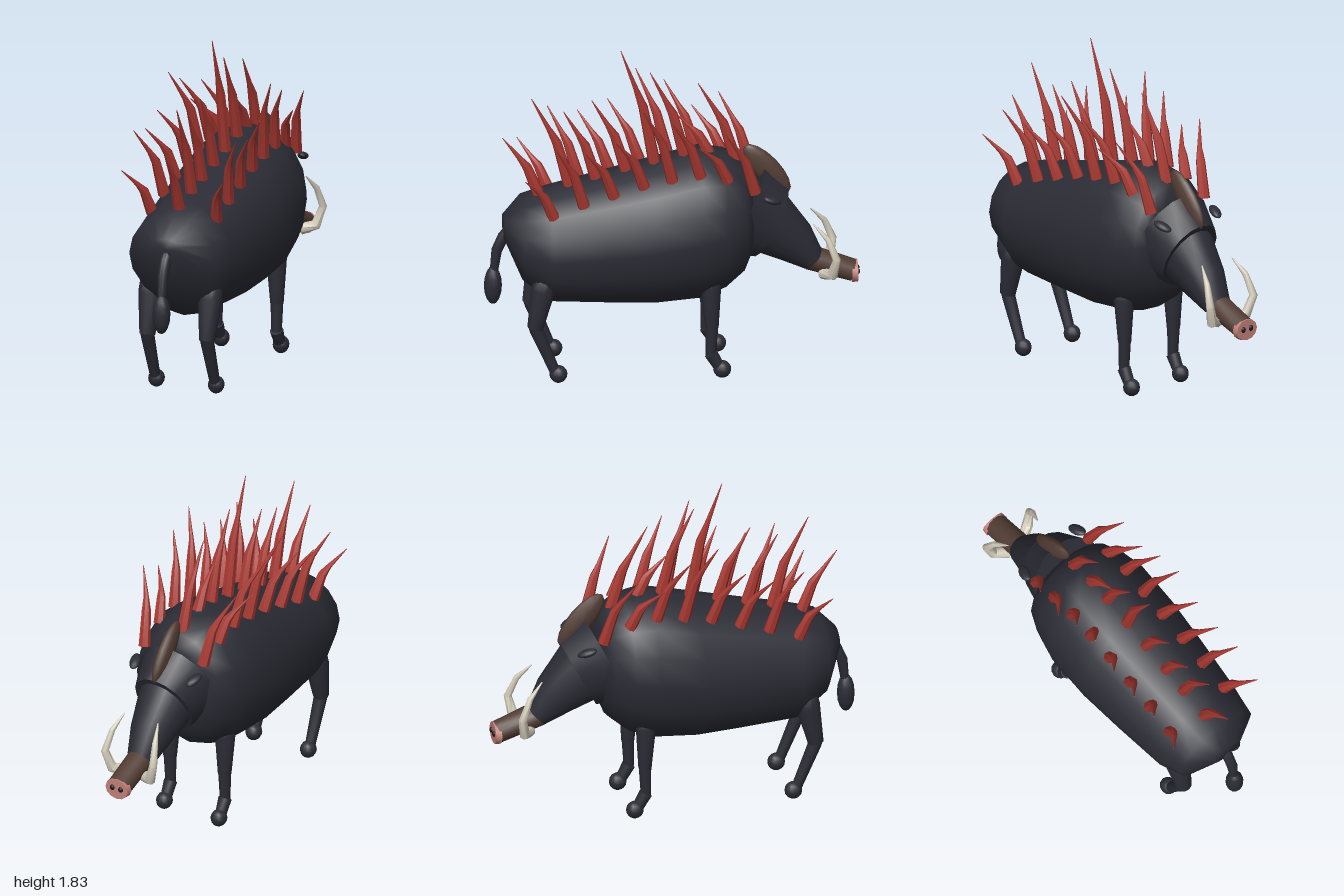
import * as THREE from 'three';
import { toCreasedNormals } from 'three/addons/utils/BufferGeometryUtils.js';

const mat = (name, color) => {
  const m = new THREE.MeshStandardMaterial({ color });
  m.name = name;
  return m;
};

// Closed skin through elliptical rings [x, y, z, sideRadius, otherRadius]
function loft(rings, segs, { axis = null, crease = 0.8 } = {}) {
  const P = rings.map(r => new THREE.Vector3(r[0], r[1], r[2]));
  const n = P.length, pos = [], idx = [];
  P.forEach((c, i) => {
    const t = axis ? axis.clone() : new THREE.Vector3();
    if (!axis) {
      if (i > 0) t.add(P[i].clone().sub(P[i - 1]).normalize());
      if (i < n - 1) t.add(P[i + 1].clone().sub(P[i]).normalize());
    }
    t.normalize();
    const u = new THREE.Vector3(1, 0, 0).addScaledVector(t, -t.x).normalize();
    const v = t.clone().cross(u);
    const rx = rings[i][3], ry = rings[i][4] ?? rx;
    for (let j = 0; j < segs; j++) {
      const a = j / segs * Math.PI * 2;
      const p = c.clone().addScaledVector(u, rx * Math.cos(a)).addScaledVector(v, ry * Math.sin(a));
      pos.push(p.x, p.y, p.z);
    }
  });
  pos.push(...P[0].toArray(), ...P[n - 1].toArray());
  for (let j = 0; j < segs; j++) {
    const k = (j + 1) % segs;
    for (let i = 0; i < n - 1; i++) {
      const a = i * segs + j, b = i * segs + k;
      idx.push(a, b, b + segs, a, b + segs, a + segs);
    }
    const e = (n - 1) * segs;
    idx.push(n * segs, k, j, n * segs + 1, e + j, e + k);
  }
  const g = new THREE.BufferGeometry();
  g.setAttribute('position', new THREE.Float32BufferAttribute(pos, 3));
  g.setIndex(idx);
  return toCreasedNormals(g, crease);
}

export function createModel() {
  const model = new THREE.Group();
  model.name = 'spinedBoar';
  const hide = mat('dark hide', 0x2b2c35);
  const red = mat('spine red', 0xa63730);
  const brown = mat('snout brown', 0x523d34);
  const pink = mat('nose pink', 0xc28079);
  const ivory = mat('tusk ivory', 0xd2cbba);
  const black = mat('nostril black', 0x1b1717);

  const add = (name, geo, material, parent = model) => {
    const m = new THREE.Mesh(geo, material);
    m.name = name;
    parent.add(m);
    return m;
  };
  const ball = (name, material, p, s, tilt = 0, segs = 12) => {
    const m = add(name, new THREE.SphereGeometry(1, segs, 8), material);
    m.position.set(...p);
    m.scale.set(...s);
    m.rotation.x = tilt;
    return m;
  };

  // Body: [z, top, bottom, half width]
  const sections = [
    [0.895, 0.90, 0.78, 0.09], [0.80, 1.0, 0.55, 0.25], [0.65, 1.05, 0.42, 0.285],
    [0.35, 1.125, 0.405, 0.318], [0.10, 1.19, 0.395, 0.34], [-0.15, 1.255, 0.415, 0.34],
    [-0.28, 1.235, 0.47, 0.31], [-0.38, 1.18, 0.56, 0.265], [-0.42, 1.1, 0.66, 0.21],
  ];
  add('body', loft(sections.map(([z, t, b, w]) => [0, (t + b) / 2, z, w, (t - b) / 2]), 16,
    { axis: new THREE.Vector3(0, 0, -1), crease: 1.1 }), hide);

  // Neck and head, sloping forward and down
  add('neck', loft([[0, 0.90, -0.37, 0.225, 0.275], [0, 0.82, -0.527, 0.17, 0.21]], 16), hide);
  add('head', loft([[0, 0.83, -0.49, 0.155, 0.185], [0, 0.70, -0.65, 0.115, 0.125],
    [0, 0.595, -0.75, 0.078, 0.068]], 16), hide);
  add('snout', loft([[0, 0.605, -0.73, 0.07, 0.068], [0, 0.522, -0.965, 0.068, 0.058]], 12), brown);
  add('nose', loft([[0, 0.52, -0.955, 0.073, 0.06], [0, 0.52, -0.987, 0.07, 0.058]], 12,
    { axis: new THREE.Vector3(0, 0, -1) }), pink);
  ball('mane', brown, [0, 1.125, -0.505], [0.036, 0.18, 0.07], 0.71, 10);

  for (const s of [1, -1]) {
    ball('nostril', black, [0.026 * s, 0.525, -0.987], [0.014, 0.016, 0.012]);
    ball('ear', hide, [0.185 * s, 1.02, -0.52], [0.03, 0.02, 0.055], -0.35).rotation.y = 0.3 * s;
    add('tusk', loft([[0.05 * s, 0.53, -0.80, 0.032], [0.12 * s, 0.55, -0.845, 0.03],
      [0.152 * s, 0.65, -0.865, 0.022], [0.135 * s, 0.76, -0.82, 0.016],
      [0.105 * s, 0.84, -0.745, 0.003]], 8), ivory);

    // Legs
    const x = 0.172 * s;
    add('hindThigh', loft([[x, 0.64, 0.68, 0.03], [x, 0.60, 0.685, 0.06], [x, 0.54, 0.695, 0.066],
      [x, 0.32, 0.738, 0.043]], 12), hide);
    add('hindShin', loft([[x, 0.345, 0.74, 0.04], [x, 0.30, 0.73, 0.036], [x, 0.07, 0.635, 0.028]], 12), hide);
    ball('hindHoof', hide, [x, 0.049, 0.615], [0.044, 0.048, 0.048]);
    add('frontThigh', loft([[x, 0.615, -0.195, 0.025], [x, 0.585, -0.195, 0.05], [x, 0.53, -0.195, 0.055],
      [x, 0.29, -0.2, 0.036]], 12), hide);
    add('frontShin', loft([[x, 0.31, -0.2, 0.035], [x, 0.135, -0.195, 0.028]], 12), hide);
    add('frontAnkle', loft([[x, 0.14, -0.195, 0.036], [x, 0.06, -0.24, 0.03]], 12), hide);
    ball('frontHoof', hide, [x, 0.049, -0.255], [0.044, 0.048, 0.048]);
  }

  // Tail with tuft
  add('tail', loft([[0, 0.82, 0.865, 0.026], [0, 0.78, 0.895, 0.03], [0, 0.70, 0.93, 0.029],
    [0, 0.58, 0.945, 0.022]], 10), hide);
  ball('tailTuft', hide, [0, 0.50, 0.95], [0.048, 0.108, 0.048]);

  // Bent spines: straight from the hide, then sweeping back and outward
  const spine = (x0, y0, z0, x1, y1, z1, r) => {
    const L = (a, b, k) => a + (b - a) * k;
    add('spine', loft([[x0, y0, z0, r], [L(x0, x1, 0.22), L(y0, y1, 0.5), L(z0, z1, 0.34), r * 0.75],
      [L(x0, x1, 0.42), L(y0, y1, 0.66), L(z0, z1, 0.55), r * 0.42], [x1, y1, z1, 0.002]],
      7, { crease: 0.6 }), red);
  };
  // [base z, base y, tip z, tip y]
  const ridge = [
    [0.70, 1.0, 0.90, 1.35], [0.54, 1.05, 0.745, 1.57], [0.40, 1.09, 0.575, 1.49], [0.24, 1.13, 0.425, 1.55],
    [0.09, 1.17, 0.27, 1.83], [-0.07, 1.21, 0.115, 1.70], [-0.20, 1.22, -0.03, 1.45], [-0.345, 1.16, -0.14, 1.63],
  ];
  for (const [z0, y0, z1, y1] of ridge) spine(0, y0, z0, 0, y1, z1, 0.034);
  const flank = [
    [0.64, 0.96, 1.22], [0.48, 1.02, 1.40], [0.32, 1.07, 1.37], [0.16, 1.12, 1.43],
    [0.01, 1.15, 1.60], [-0.14, 1.17, 1.53], [-0.285, 1.14, 1.38], [-0.43, 1.07, 1.45],
  ];
  for (const s of [1, -1]) {
    for (const [z, y0, y1] of flank) spine(0.185 * s, y0, z, 0.295 * s, y1, z + 0.16, 0.033);
  }
  return model;
}
